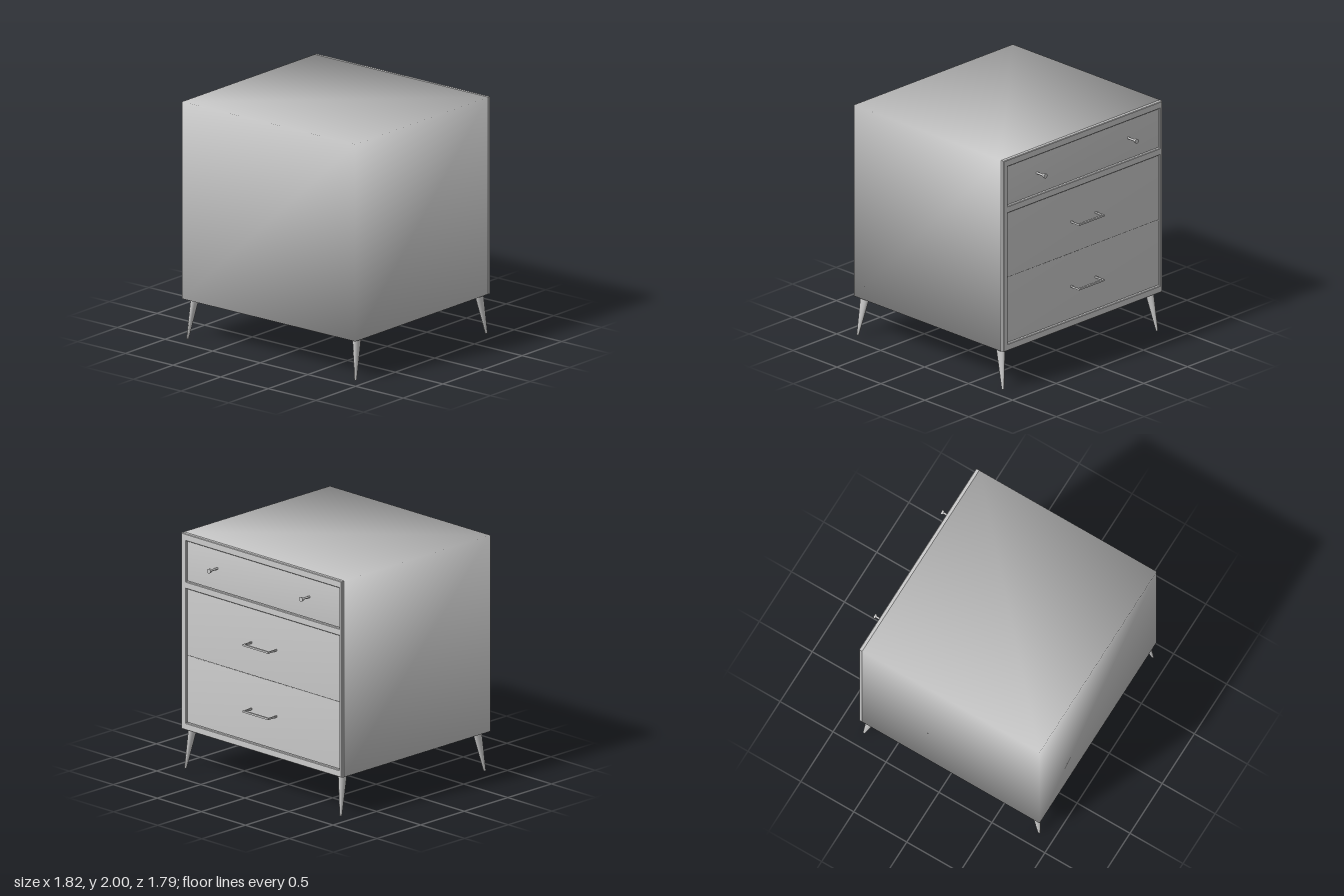
import * as THREE from 'three';
import { mergeVertices } from 'three/addons/utils/BufferGeometryUtils.js';

const grey = new THREE.MeshStandardMaterial({ color: 0xcccccc });
const { lerp } = THREE.MathUtils;

// Cabinet extents
const X = 0.91, BOTTOM = 0.335, TOP = 2, FACE = -0.81, FAR = 0.895;
// Drawer opening extents
const OX0 = -0.88, OX1 = 0.86;

function add(parent, name, geometry, x = 0, y = 0, z = 0) {
  const mesh = new THREE.Mesh(geometry, grey);
  mesh.name = name;
  mesh.position.set(x, y, z);
  parent.add(mesh);
  return mesh;
}

// Box given by its extents, with normals averaged over the corners
function softBox(parent, name, x0, x1, y0, y1, z0, z1) {
  let g = new THREE.BoxGeometry(x1 - x0, y1 - y0, z1 - z0);
  g.deleteAttribute('normal');
  g.deleteAttribute('uv');
  g = mergeVertices(g);
  g.computeVertexNormals();
  return add(parent, name, g, (x0 + x1) / 2, (y0 + y1) / 2, (z0 + z1) / 2);
}

function rect(Type, x0, x1, y0, y1) {
  return new Type([[x0, y0], [x1, y0], [x1, y1], [x0, y1]].map(p => new THREE.Vector2(...p)));
}

// Splayed, tapered leg of oval section
function leg(parent, name, top, foot) {
  const g = new THREE.CylinderGeometry(1, 1, 1, 24);
  const p = g.attributes.position;
  for (let i = 0; i < p.count; i++) {
    const t = p.getY(i) + 0.5;
    p.setXYZ(i,
      lerp(foot[0], top[0], t) + p.getX(i) * lerp(0.009, 0.027, t),
      t * (BOTTOM + 0.005),
      lerp(foot[1], top[1], t) + p.getZ(i) * lerp(0.011, 0.045, t));
  }
  g.computeVertexNormals();
  add(parent, name, g);
}

// Round knob on a thin stem
function knob(parent, x, y) {
  const group = new THREE.Group();
  group.name = 'knob';
  const stem = new THREE.CylinderGeometry(0.009, 0.009, 0.09, 16).rotateX(Math.PI / 2);
  const head = new THREE.CylinderGeometry(0.02, 0.017, 0.018, 24).rotateX(-Math.PI / 2);
  add(group, 'knobStem', stem, x, y, -0.835);
  add(group, 'knobHead', head, x, y, -0.886);
  parent.add(group);
}

// Bar pull on two thin posts
function pull(parent, x0, x1, y) {
  const group = new THREE.Group();
  group.name = 'pullHandle';
  add(group, 'pullBar', new THREE.BoxGeometry(x1 - x0, 0.015, 0.016), (x0 + x1) / 2, y, -0.887);
  for (const x of [x0 + 0.004, x1 - 0.004]) {
    add(group, 'pullPost', new THREE.BoxGeometry(0.008, 0.015, 0.1), x, y, -0.84);
  }
  parent.add(group);
}

export function createModel() {
  const model = new THREE.Group();
  model.name = 'nightstand';

  softBox(model, 'cabinetBody', -X, X, BOTTOM, TOP, FACE + 0.03, FAR);

  // Face frame with one opening for the top drawer and one for the lower pair
  const frame = rect(THREE.Shape, -X, X, BOTTOM, TOP);
  frame.holes.push(rect(THREE.Path, OX0, OX1, 1.595, 1.94), rect(THREE.Path, OX0, OX1, 0.395, 1.535));
  const frameGeometry = new THREE.ExtrudeGeometry(frame, {
    depth: 0.025, bevelThickness: 0.005, bevelSize: 0.005, bevelOffset: -0.005, bevelSegments: 1,
  });
  add(model, 'faceFrame', frameGeometry, 0, 0, FACE + 0.005);

  // Drawer fronts, set slightly back from the frame
  const drawers = [['topDrawer', 1.6, 1.935], ['middleDrawer', 0.968, 1.53], ['bottomDrawer', 0.4, 0.962]];
  for (const [name, y0, y1] of drawers) {
    softBox(model, name, OX0 + 0.004, OX1 - 0.004, y0, y1, FACE + 0.015, FACE + 0.035);
  }

  // Drawer hardware
  for (const x of [-0.53, 0.515]) knob(model, x, 1.782);
  for (const y of [1.243, 0.68]) pull(model, -0.16, 0.13, y);

  // Four legs
  for (const [end, zTop, zFoot] of [['front', 0.815, 0.868], ['back', -0.725, -0.782]]) {
    leg(model, end + 'RightLeg', [-0.838, zTop], [-0.873, zFoot]);
    leg(model, end + 'LeftLeg', [0.86, zTop], [0.89, zFoot]);
  }
  return model;
}
